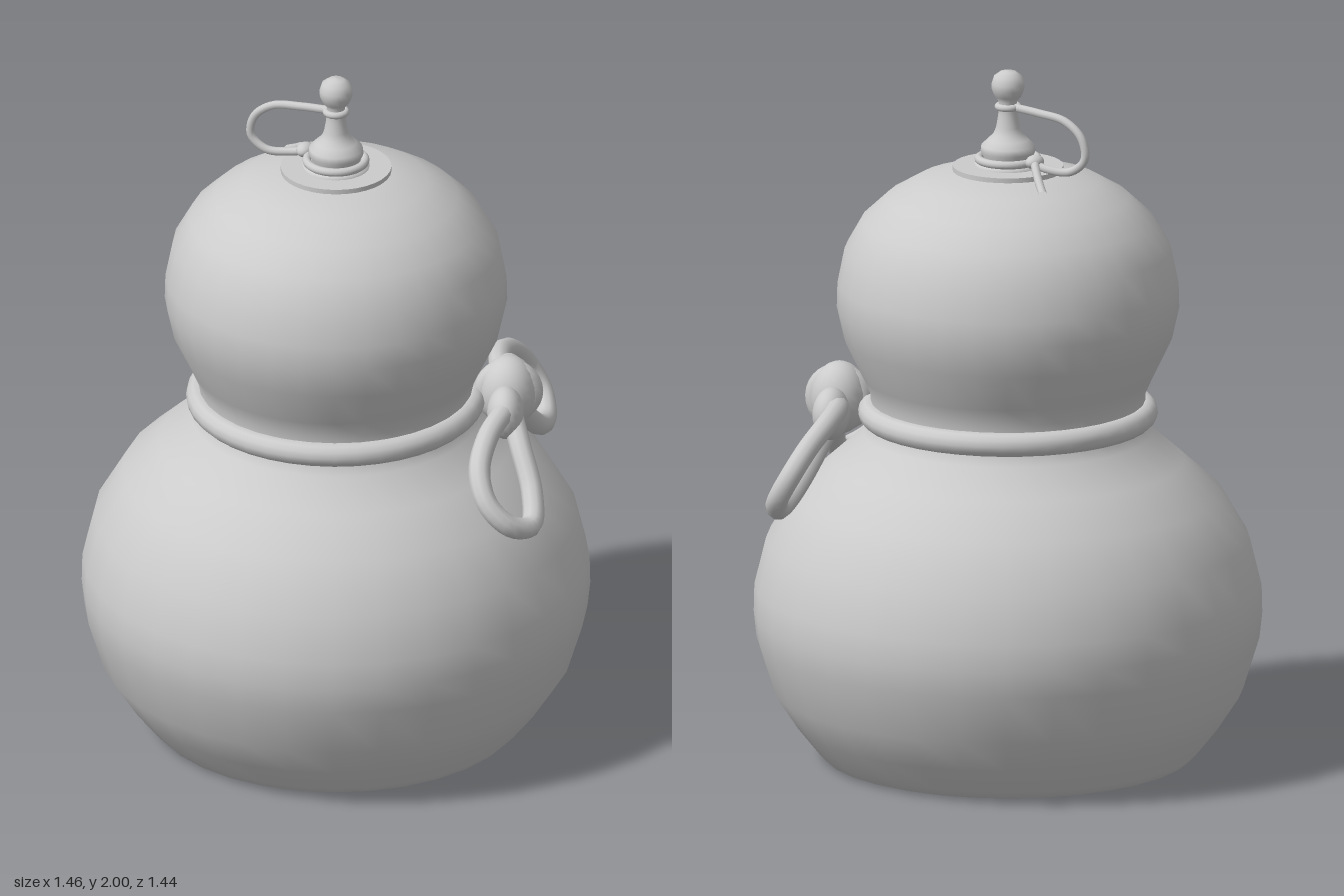
import * as THREE from 'three';

const material = new THREE.MeshStandardMaterial({ color: 0xcccccc, side: THREE.DoubleSide });
const AXIS_X = -0.01;

function add(parent, name, geometry) {
  const mesh = new THREE.Mesh(geometry, material);
  mesh.name = name;
  parent.add(mesh);
  return mesh;
}

// Profile points are [radius, height]
function lathe(points, segments = 32) {
  return new THREE.LatheGeometry(points.map(([r, y]) => new THREE.Vector2(r, y)), segments);
}

function cord(points, radius, segments = 48) {
  const curve = new THREE.CatmullRomCurve3(points.map((p) => new THREE.Vector3(...p)));
  return new THREE.TubeGeometry(curve, segments, radius, 10, false);
}

function ring(parent, name, radius, tube, y) {
  const mesh = add(parent, name, new THREE.TorusGeometry(radius, tube, 12, 40));
  mesh.rotation.x = Math.PI / 2;
  mesh.position.set(AXIS_X, y, 0);
  return mesh;
}

function blob(parent, name, position, scale, turn) {
  const mesh = add(parent, name, new THREE.SphereGeometry(1, 20, 14));
  mesh.position.set(...position);
  mesh.scale.set(...scale);
  mesh.rotation.y = turn;
  return mesh;
}

export function createModel() {
  const model = new THREE.Group();
  model.name = 'gourdBottle';

  // Double-bulged body and its flat underside
  const body = add(model, 'gourdBody', lathe([
    [0.5, 0], [0.525, 0.008], [0.545, 0.03], [0.605, 0.105], [0.667, 0.2], [0.712, 0.345],
    [0.72, 0.42], [0.718, 0.5], [0.685, 0.635], [0.605, 0.77], [0.5, 0.865],
    [0.41, 0.945], [0.388, 1.0], [0.39, 1.06], [0.412, 1.11], [0.465, 1.22],
    [0.485, 1.31], [0.483, 1.38], [0.463, 1.48], [0.415, 1.565], [0.345, 1.63],
    [0.26, 1.68], [0.15, 1.712], [0, 1.72],
  ]));
  body.position.x = AXIS_X;
  const base = add(model, 'base', new THREE.CircleGeometry(0.5, 32));
  base.rotation.x = Math.PI / 2;
  base.position.x = AXIS_X;

  // Stopper: flat collar, turned foot, stem and ball
  const collar = add(model, 'collar', new THREE.CylinderGeometry(0.157, 0.157, 0.02, 32));
  collar.position.set(AXIS_X, 1.714, 0);
  const stopper = add(model, 'stopper', lathe([
    [0.095, 1.715], [0.095, 1.732], [0.07, 1.738], [0.07, 1.75], [0.078, 1.765], [0.076, 1.782],
    [0.058, 1.8], [0.042, 1.815], [0.034, 1.835], [0.028, 1.87], [0.025, 1.91],
    [0.038, 1.925], [0.046, 1.945], [0.047, 1.962], [0.04, 1.984], [0.022, 1.997], [0, 2.0],
  ], 24));
  stopper.position.x = AXIS_X;

  // Thin cord looped from the stem down to a small knot with two tails
  const tie = new THREE.Group();
  tie.name = 'stopperCord';
  model.add(tie);
  ring(tie, 'stemLoop', 0.028, 0.01, 1.895);
  ring(tie, 'footLoop', 0.083, 0.012, 1.743);
  add(tie, 'hangingCord', cord([
    [-0.02, 1.895, -0.025], [-0.05, 1.89, -0.1], [-0.085, 1.878, -0.18], [-0.108, 1.835, -0.23],
    [-0.112, 1.775, -0.24], [-0.09, 1.735, -0.2], [-0.05, 1.735, -0.14], [-0.03, 1.75, -0.09],
  ], 0.012));
  add(tie, 'cordTail', cord([
    [-0.05, 1.745, -0.085], [-0.02, 1.745, -0.125], [0, 1.72, -0.17], [0.02, 1.69, -0.225],
  ], 0.012, 20));
  blob(tie, 'cordKnot', [-0.035, 1.75, -0.1], [0.032, 0.02, 0.024], 0.4);

  // Waist rope
  ring(model, 'waistRope', 0.39, 0.035, 1.005);

  // Bow: two drooping loops, a knot and the gathered roots beside it
  const bow = new THREE.Group();
  bow.name = 'bow';
  model.add(bow);
  add(bow, 'frontLoop', cord([
    [0.3, 1.02, 0.4], [0.22, 1.02, 0.44], [0.12, 0.99, 0.48], [0.03, 0.93, 0.54], [0.005, 0.86, 0.6],
    [0.04, 0.8, 0.65], [0.12, 0.775, 0.655], [0.19, 0.83, 0.59], [0.24, 0.93, 0.49], [0.29, 1.0, 0.4],
  ], 0.031));
  add(bow, 'sideLoop', cord([
    [0.37, 1.02, 0.3], [0.44, 1.025, 0.2], [0.52, 1.01, 0.13], [0.61, 0.965, 0.085], [0.68, 0.89, 0.075],
    [0.698, 0.82, 0.11], [0.655, 0.775, 0.17], [0.58, 0.79, 0.225], [0.49, 0.86, 0.265], [0.38, 0.99, 0.3],
  ], 0.031));
  const turn = Math.PI / 4;
  blob(bow, 'knot', [0.335, 1.02, 0.345], [0.09, 0.105, 0.082], turn);
  blob(bow, 'frontRoot', [0.26, 1.0, 0.41], [0.08, 0.075, 0.052], turn);
  blob(bow, 'sideRoot', [0.415, 1.0, 0.265], [0.08, 0.075, 0.052], turn);
  const wrap = add(bow, 'knotWrap', new THREE.TorusGeometry(0.065, 0.034, 12, 28));
  wrap.position.set(0.335, 1.02, 0.345);
  wrap.rotation.set(0, -turn, 0.25);

  return model;
}
